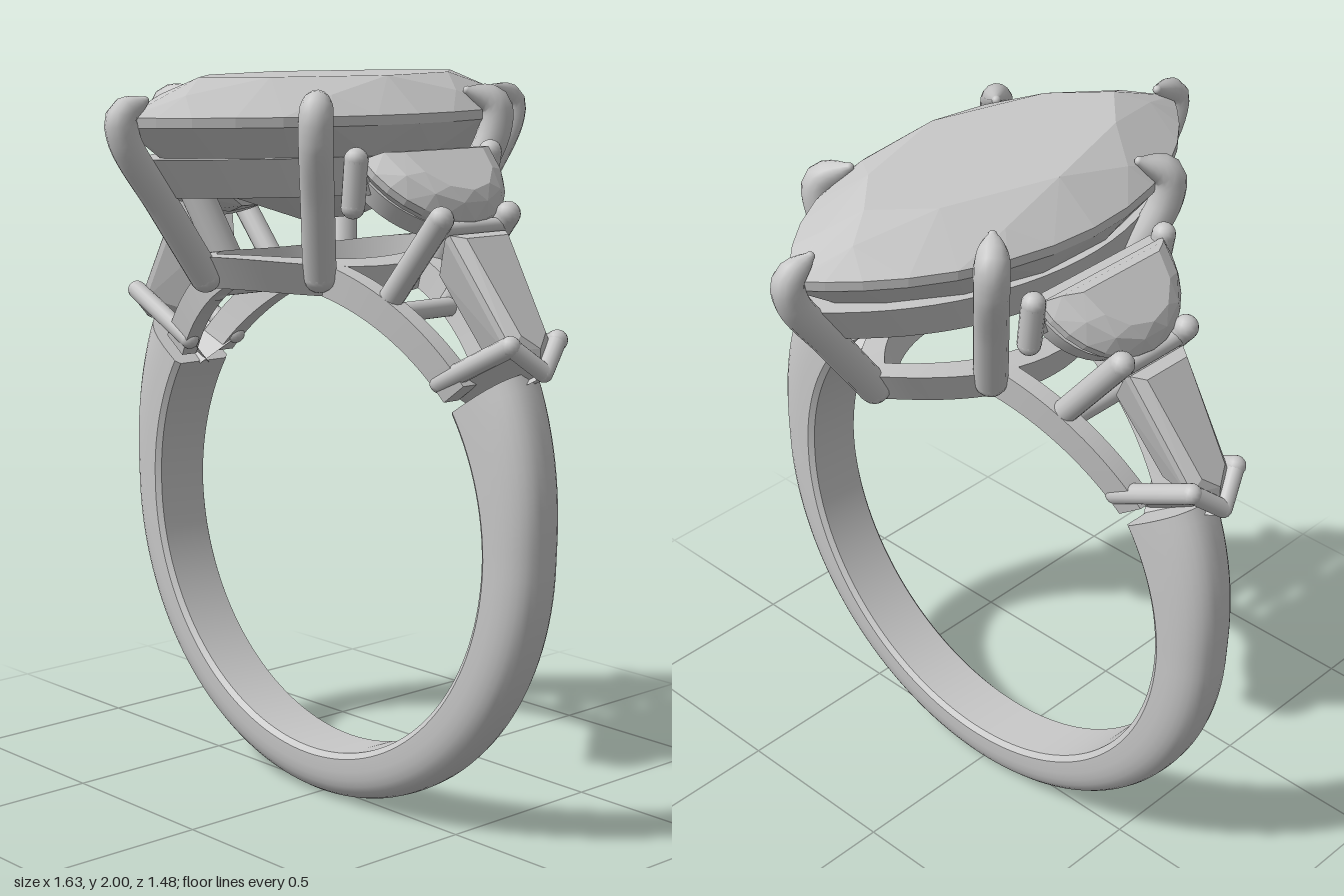
import * as THREE from 'three';
import { toCreasedNormals } from 'three/addons/utils/BufferGeometryUtils.js';
import { ConvexGeometry } from 'three/addons/geometries/ConvexGeometry.js';

const V = (x, y, z) => new THREE.Vector3(x, y, z);
const RING_Y = 0.8, INNER = 0.66;

export function createModel() {
  const model = new THREE.Group();
  model.name = 'ring';
  const silver = new THREE.MeshStandardMaterial({ color: 0xc8c8c8 });
  silver.name = 'silver grey';

  const add = (name, geometry) => {
    const mesh = new THREE.Mesh(geometry, silver);
    mesh.name = name;
    model.add(mesh);
    return mesh;
  };

  // Skin a list of equal cross-sections; faces are turned outward by signed volume
  function loft(rings, closed) {
    const n = rings[0].length, m = rings.length, pts = rings.flat(), idx = [];
    for (let i = 0; i < (closed ? m : m - 1); i++) {
      for (let j = 0; j < n; j++) {
        const a = i * n + j, b = i * n + (j + 1) % n;
        const c = ((i + 1) % m) * n + j, d = ((i + 1) % m) * n + (j + 1) % n;
        idx.push(a, b, d, a, d, c);
      }
    }
    if (!closed) {
      const e = (m - 1) * n;
      for (let j = 1; j < n - 1; j++) idx.push(0, j + 1, j, e, e + j, e + j + 1);
    }
    let volume = 0;
    for (let i = 0; i < idx.length; i += 3) {
      volume += pts[idx[i]].dot(pts[idx[i + 1]].clone().cross(pts[idx[i + 2]]));
    }
    if (volume < 0) idx.reverse();
    const g = new THREE.BufferGeometry().setFromPoints(pts);
    g.setIndex(idx);
    return toCreasedNormals(g, 0.6);
  }

  // Round wire with its own radius at each end and ball ends
  function prong(name, points, r0, r1 = r0, taperFrom = 0) {
    const curve = new THREE.CatmullRomCurve3(points);
    const steps = points.length > 2 ? 28 : 2, sides = 14;
    const g = new THREE.TubeGeometry(curve, steps, 1, sides);
    const pos = g.attributes.position, p = V();
    for (let i = 0; i < pos.count; i++) {
      const u = Math.floor(i / (sides + 1)) / steps;
      const c = curve.getPointAt(u);
      const t = Math.max(0, (u - taperFrom) / (1 - taperFrom));
      p.fromBufferAttribute(pos, i).sub(c).multiplyScalar(r0 + (r1 - r0) * t * t).add(c);
      pos.setXYZ(i, p.x, p.y, p.z);
    }
    add(name, g);
    [[points[0], r0], [points[points.length - 1], r1]].forEach(([c, r]) =>
      add(name + 'End', new THREE.SphereGeometry(r, 14, 10)).position.copy(c));
  }

  // Pointed oval outline: two arcs meeting at z = +-L, half width W
  function marquise(L, W, t) {
    const z = L * Math.cos(t), R = (L * L + W * W) / (2 * W);
    const x = Math.sqrt(Math.max(0, R * R - z * z)) - (R - W);
    return [Math.sin(t) < 0 ? -x : x, z];
  }

  // Shank: flat inside, rounded outside, thicker towards the shoulders
  const shank = [];
  for (let i = 0; i <= 96; i++) {
    const e = THREE.MathUtils.degToRad(33 - i * 246 / 96);
    const rise = Math.max(0, Math.sin(e)) / Math.sin(Math.PI / 6);
    const outer = 0.8 + 0.01 * (1 + Math.sin(e)) + 0.055 * rise ** 1.4;
    const half = 0.09 + 0.006 * rise;
    const at = (r, z) => V(r * Math.cos(e), RING_Y + r * Math.sin(e), z);
    const section = [at(INNER, -half + 0.012), at(INNER, half - 0.012)];
    for (let k = 0; k <= 16; k++) {
      const a = Math.PI * k / 16, c = Math.cos(a);
      section.push(at(INNER + 0.015 + (outer - INNER - 0.015) * Math.sin(a) ** 0.75,
        half * Math.sign(c) * Math.abs(c) ** 0.8));
    }
    shank.push(section);
  }
  add('shank', loft(shank, false));

  // Centre stone
  const stone = [];
  const layer = (count, scale, y, shift = 0) => {
    for (let i = 0; i < count; i++) {
      const [x, z] = marquise(0.69 * scale, 0.34 * scale, (i + shift) / count * Math.PI * 2);
      stone.push(V(x, y, z));
    }
  };
  layer(8, 0.65, 2.0);
  layer(8, 0.84, 1.957, 0.5);
  layer(32, 1, 1.905);
  layer(32, 1, 1.88);
  layer(16, 0.84, 1.8, 0.5);
  layer(8, 0.5, 1.69);
  stone.push(V(0, 1.615, 0.1), V(0, 1.615, -0.1));
  add('centreStone', new ConvexGeometry(stone));

  // Basket rails: upper one level, lower one following the finger hole
  function rail(name, top, bottom, thick, yTop, yBottom) {
    const rings = [];
    for (let i = 0; i < 64; i++) {
      const t = i / 64 * Math.PI * 2;
      rings.push([[top, 0, yTop], [bottom, 0, yBottom], [bottom, thick, yBottom], [top, thick, yTop]]
        .map(([[L, W], d, y]) => {
          const [x, z] = marquise(L - d * 1.5, W - d, t);
          return V(x, y(x), z);
        }));
    }
    add(name, loft(rings, true));
  }
  rail('upperRail', [0.645, 0.3], [0.58, 0.275], 0.05, () => 1.8, () => 1.7);
  const arc = r => x => RING_Y + Math.sqrt(r * r - x * x);
  rail('lowerRail', [0.48, 0.235], [0.44, 0.215], 0.055, arc(0.745), arc(INNER));

  // Centre stone claws
  for (const s of [1, -1]) {
    prong('endClaw', [V(0, 1.49, s * 0.435), V(0, 1.68, s * 0.57), V(0, 1.85, s * 0.69),
      V(0, 1.91, s * 0.695), V(0, 1.945, s * 0.625)], 0.042, 0.012, 0.82);
    for (const q of [1, -1]) {
      prong('sideClaw', [V(s * 0.185, 1.49, q * 0.205), V(s * 0.245, 1.68, q * 0.265),
        V(s * 0.3, 1.85, q * 0.32), V(s * 0.3, 1.92, q * 0.318),
        V(s * 0.25, 1.955, q * 0.265)], 0.045, 0.012, 0.82);
    }
  }

  // Shoulders
  for (const s of [1, -1]) {
    // Half-moon stone in its tilted frame: u runs outward and down, n is the face normal
    const tilt = (u, n, z) => V(s * (0.37 + 0.75 * u + 0.66 * n), 1.8 - 0.66 * u + 0.75 * n, z);
    const moon = [];
    for (const [scale, n, count] of [[0.62, 0.055, 6], [0.83, 0.038, 7], [1, 0, 14], [1, -0.02, 14], [0.6, -0.11, 6]]) {
      for (let i = 0; i <= count; i++) {
        const a = Math.PI * i / count;
        moon.push(tilt(0.09 + (0.235 * Math.sin(a) - 0.09) * scale, n, 0.225 * scale * Math.cos(a)));
      }
    }
    moon.push(tilt(0.08, -0.16, 0.04), tilt(0.08, -0.16, -0.04));
    add('halfMoonStone', new ConvexGeometry(moon));

    // Curved seat under the half-moon
    const seat = [];
    for (let i = 0; i <= 20; i++) {
      const a = Math.PI * i / 20, c = Math.cos(a), k = Math.sin(a);
      seat.push([[1, -0.04], [0.92, -0.1], [0.72, -0.1], [0.8, -0.04]]
        .map(([m, n]) => tilt(0.01 + 0.21 * m * k, n, 0.215 * m * c)));
    }
    add('halfMoonSeat', loft(seat, false));
    const bar = add('halfMoonBar', new THREE.BoxGeometry(0.045, 0.08, 0.45));
    bar.position.set(s * 0.352, 1.75, 0);

    // Tapered baguette with a pointed outer end
    const slope = (u, n, z) => V(s * (0.555 + 0.58 * u + 0.82 * n), 1.615 - 0.82 * u + 0.57 * n, z);
    const baguette = [];
    for (const [n, inset] of [[0.025, 0.025], [0, 0], [-0.02, 0], [-0.13, 0.045]]) {
      for (const q of [1, -1]) {
        baguette.push(slope(inset, n, q * (0.1 - inset)), slope(0.33 - inset, n, q * (0.07 - inset)));
      }
      baguette.push(slope(0.385 - inset * 1.5, n, 0));
    }
    add('baguetteStone', new ConvexGeometry(baguette));

    // Chevron holding the baguette point
    for (const q of [1, -1]) {
      const corners = [V(s * 0.755, 1.355, q * 0.085), V(s * 0.79, 1.285, 0),
        V(s * 0.51, 1.235, q * 0.085), V(s * 0.555, 1.17, 0)];
      const offset = V(s * 0.006, 0.016, q * 0.016);
      add('chevronPlate', new ConvexGeometry(
        corners.flatMap(c => [c.clone().add(offset), c.clone().sub(offset)])));
      prong('chevronProng', [corners[2], corners[0]], 0.027);
      prong('chevronLip', [corners[0], corners[1]], 0.024);

      // Half-moon prongs
      prong('innerProng', [V(s * 0.345, 1.68, q * 0.235), V(s * 0.362, 1.8, q * 0.24)], 0.031);
      prong('outerProng', [V(s * 0.335, 1.4, q * 0.125), V(s * 0.545, 1.655, q * 0.12)], 0.033);

      // Arched lower rails from chevron to basket
      const arch = [];
      for (let i = 0; i <= 20; i++) {
        const f = i / 20, e = THREE.MathUtils.degToRad(36 + 38 * f), z = 0.068 + 0.1 * f;
        arch.push([[INNER, -0.026], [INNER, 0.026], [0.745, 0.026], [0.745, -0.026]]
          .map(([r, d]) => V(s * r * Math.cos(e), RING_Y + r * Math.sin(e), q * (z + d))));
      }
      add('archRail', loft(arch, false));
    }

    // Cross bars between the outer prongs
    prong('upperCrossBar', [V(s * 0.53, 1.625, -0.11), V(s * 0.53, 1.625, 0.11)], 0.022);
    prong('lowerCrossBar', [V(s * 0.36, 1.4, -0.12), V(s * 0.36, 1.4, 0.12)], 0.026);
  }
  return model;
}
